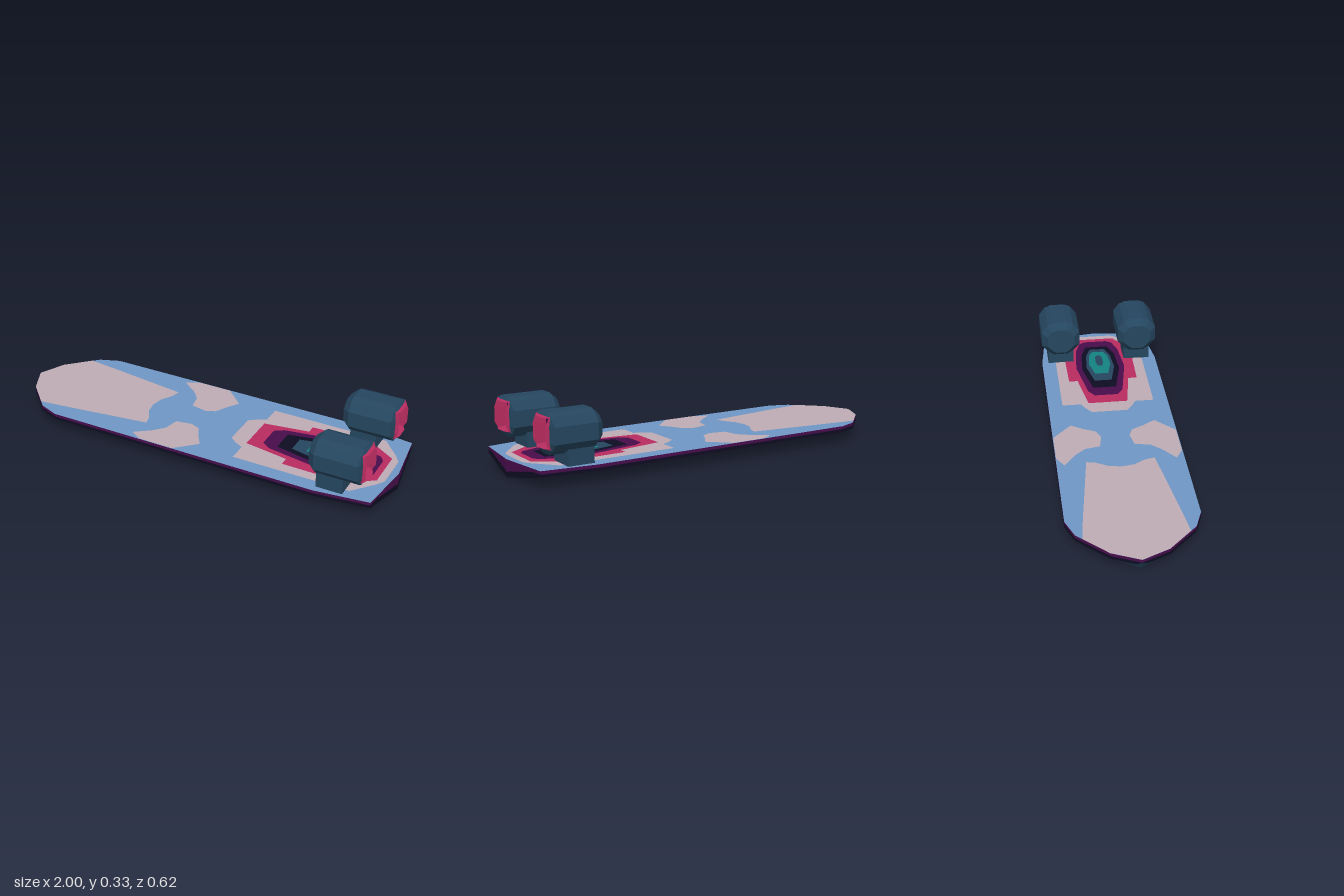
import * as THREE from 'three';

const PALETTE = { slate: 0x25465f, teal: 0x138280, ink: 0x0e0c22, purple: 0x470d4c, crimson: 0xb82c5f, blush: 0xbfacb4, blue: 0x6e96c4 };
const NAMES = Object.keys(PALETTE);
const [SLATE, TEAL, INK, PURPLE, CRIMSON, BLUSH, BLUE] = NAMES.keys();
const TOP = 0.085, CHINE = 0.055, STERN = 0.967, BEAM = 0.275;

// Piecewise linear lookup in [x, value] pairs
function lookup(table, x) {
  for (let i = 1; i < table.length; i++) {
    const [a, va] = table[i - 1], [b, vb] = table[i];
    if (x <= b) return va + (vb - va) * Math.max(0, (x - a) / (b - a));
  }
  return table[table.length - 1][1];
}

const outline = [[-1, 0], [-0.94, 0.13], [-0.8, 0.27], [-0.7, 0.308], [0.7, 0.308], [STERN, BEAM]];
const keelLine = [[-1, 0.07], [-0.95, 0], [1, 0]];
// How quickly the bottom bands spread towards the chine
const bandSpread = [[-1, 0.1], [-0.7, 0.12], [-0.6, 0.3], [-0.1, 0.43], [0.3, 0.95], [1, 1]];

function bottomColour(x, z) {
  const v = Math.abs(z) / BEAM * lookup(bandSpread, x);
  return [[0.15, SLATE], [0.4, TEAL], [0.55, INK], [0.62, PURPLE], [0.72, CRIMSON], [0.95, BLUSH]]
    .find(([limit]) => v < limit)?.[1] ?? BLUE;
}

// Collects quads by colour and turns them into one grouped mesh
class Quads {
  constructor() { this.buckets = NAMES.map(() => []); }
  add(colour, a, b, c, d) { this.buckets[colour].push(...a, ...b, ...c, ...a, ...c, ...d); }
  mesh(name, materials) {
    const geometry = new THREE.BufferGeometry();
    const all = this.buckets.flat();
    geometry.setAttribute('position', new THREE.Float32BufferAttribute(all, 3));
    let start = 0;
    this.buckets.forEach((bucket, i) => {
      if (bucket.length) geometry.addGroup(start, bucket.length / 3, i);
      start += bucket.length / 3;
    });
    geometry.computeVertexNormals();
    const mesh = new THREE.Mesh(geometry, materials);
    mesh.name = name;
    return mesh;
  }
}

// Flat rubbing edge, narrow chine and shallow V bottom
function section(x, side) {
  const w = lookup(outline, x), inner = Math.min(w, BEAM);
  const keel = lookup(keelLine, x), chine = Math.max(CHINE, keel);
  const points = [[w, TOP], [w, Math.max(0.07, chine)], [w, chine]];
  for (let i = 0; i <= 30; i++) points.push([inner * (1 - i / 30), chine + (keel - chine) * i / 30]);
  const bulge = 0.033 * Math.max(0, (x - 0.7) / (STERN - 0.7));
  return points.map(([z, y]) => [x + bulge * Math.max(0, 1 - z / BEAM), y, z * side]);
}

function buildHull(materials) {
  const quads = new Quads();
  const stations = outline.map(p => p[0]).concat(-0.95);
  for (let i = 1; i < 180; i++) stations.push(-1 + i / 180 * (STERN + 1));
  stations.sort((a, b) => a - b);
  for (const side of [1, -1]) {
    for (let i = 1; i < stations.length; i++) {
      const a = section(stations[i - 1], side), b = section(stations[i], side);
      for (let j = 0; j < a.length - 1; j++) {
        const mx = (a[j][0] + b[j][0]) / 2, mz = (a[j][2] + a[j + 1][2]) / 2;
        const colour = j === 0 ? PURPLE : j < 3 ? INK : bottomColour(mx, mz);
        if (side > 0) quads.add(colour, a[j], a[j + 1], b[j + 1], b[j]);
        else quads.add(colour, a[j], b[j], b[j + 1], a[j + 1]);
      }
    }
  }
  // Transom with a darker lower border
  const point = (u, v) => {
    const z = BEAM * (1 - 2 * u), t = Math.abs(z) / BEAM;
    return [STERN + 0.033 * (1 - t), TOP + (CHINE * t - TOP) * v, z];
  };
  const nu = 60, nv = 16;
  for (let i = 0; i < nu; i++) {
    for (let j = 0; j < nv; j++) {
      const [, y, z] = point((i + 0.5) / nu, (j + 0.5) / nv);
      const colour = y > Math.min(0.07, 0.028 + Math.abs(z) * 0.2) ? PURPLE : INK;
      quads.add(colour, point(i / nu, j / nv), point(i / nu, (j + 1) / nv),
        point((i + 1) / nu, (j + 1) / nv), point((i + 1) / nu, j / nv));
    }
  }
  return quads.mesh('hull', materials);
}

// Flat deck plate from [x, z] points
function plate(name, points, material, layer) {
  const shape = new THREE.Shape(points.map(([x, z]) => new THREE.Vector2(x, z)));
  const geometry = new THREE.ShapeGeometry(shape).rotateX(-Math.PI / 2);
  const mesh = new THREE.Mesh(geometry, material);
  mesh.position.y = TOP + layer * 0.0008;
  mesh.name = name;
  return mesh;
}
const mirrored = half => [...half, ...half.map(([x, z]) => [x, -z]).reverse()];

function buildDeck(materials) {
  const deck = new THREE.Group();
  deck.name = 'deck';
  deck.add(plate('deckSurface', mirrored([...outline, [1, 0]]), materials[BLUE], 0));
  deck.add(plate('bowPatch', mirrored([[-1, 0], [-0.94, 0.13], [-0.83, 0.24], [-0.7, 0.225], [-0.255, 0.165],
    [-0.265, 0.12], [-0.3, 0.06], [-0.31, 0]]), materials[BLUSH], 1));
  const patch = [[-0.27, 0.27], [-0.21, 0.305], [-0.03, 0.305], [0.07, 0.21], [0.03, 0.15], [0, 0.09],
    [-0.05, 0.07], [-0.13, 0.085], [-0.145, 0.16], [-0.19, 0.21]];
  for (const side of [1, -1]) {
    deck.add(plate('midPatch', patch.map(([x, z]) => [x, z * side]), materials[BLUSH], 1));
  }
  // Nested bands between the engines
  const bands = [
    [BLUSH, [[0.18, 0.09], [0.22, 0.12], [0.26, 0.14], [0.26, 0.235], [0.85, 0.235], [0.94, 0.13], [0.965, 0.09]]],
    [CRIMSON, [[0.265, 0.1], [0.33, 0.11], [0.49, 0.135], [0.49, 0.18], [0.8, 0.185], [0.9, 0.12], [0.93, 0.1]]],
    [PURPLE, [[0.335, 0.06], [0.38, 0.09], [0.62, 0.13], [0.8, 0.115], [0.88, 0.09], [0.9, 0.06]]],
    [INK, [[0.41, 0.06], [0.6, 0.1], [0.75, 0.09], [0.84, 0.06]]],
    [SLATE, [[0.48, 0.045], [0.62, 0.075], [0.74, 0.065], [0.81, 0.04]]],
    [TEAL, [[0.55, 0.035], [0.65, 0.058], [0.74, 0.05], [0.78, 0.03]]],
    [SLATE, [[0.63, 0.012], [0.67, 0.02], [0.72, 0.018], [0.74, 0.008]]],
  ];
  bands.forEach(([colour, half], i) => deck.add(plate('sternBand', mirrored(half), materials[colour], i + 1)));
  return deck;
}

function buildEngine(materials, z) {
  const engine = new THREE.Group();
  engine.name = 'engine';
  // Twelve-sided casing loop as [y, z], squared off at the mouth
  const right = [[0.095, 0.036], [0.081, 0.068], [0.04, 0.101], [-0.038, 0.101], [-0.074, 0.068], [-0.095, 0.036]];
  const full = mirrored(right);
  const square = full.map(([y, s]) => [THREE.MathUtils.clamp(y, -0.068, 0.08), THREE.MathUtils.clamp(s, -0.068, 0.068)]);
  const ring = (loop, x, k, bow = 0) => loop.map(([y, s], i) => {
    const corner = i % 6 === 1 || i % 6 === 4;
    return [x + (corner ? 0 : bow), y * k, s * k];
  });
  const rings = [
    [SLATE, ring(full, 0.66, 0)], [SLATE, ring(full, 0.66, 0.7)], [SLATE, ring(full, 0.695, 1)],
    [SLATE, ring(full, 0.905, 1)], [SLATE, ring(square, 0.912, 1, 0.006)],
    [CRIMSON, ring(square, 0.918, 0.93, 0.015)], [CRIMSON, ring(square, 0.87, 0.85)],
    [PURPLE, ring(square, 0.82, 0.62)], [INK, ring(square, 0.78, 0.27)], [SLATE, ring(square, 0.78, 0)],
  ];
  const quads = new Quads();
  for (let r = 1; r < rings.length; r++) {
    const a = rings[r - 1][1], [colour, b] = rings[r];
    for (let i = 0; i < a.length; i++) {
      const j = (i + 1) % a.length;
      quads.add(colour, a[i], a[j], b[j], b[i]);
    }
  }
  const casing = quads.mesh('engineCasing', materials);
  casing.position.y = 0.235;
  const pylon = new THREE.Mesh(new THREE.BoxGeometry(0.13, 0.08, 0.137), materials[SLATE]);
  pylon.name = 'enginePylon';
  pylon.position.set(0.765, 0.122, 0);
  engine.add(casing, pylon);
  engine.position.z = z;
  return engine;
}

export function createModel() {
  const materials = NAMES.map(name => {
    const material = new THREE.MeshStandardMaterial({ color: PALETTE[name] });
    material.name = name;
    return material;
  });
  const model = new THREE.Group();
  model.name = 'hoverBoat';
  model.add(buildHull(materials), buildDeck(materials));
  for (const side of [1, -1]) model.add(buildEngine(materials, side * 0.205));
  return model;
}
